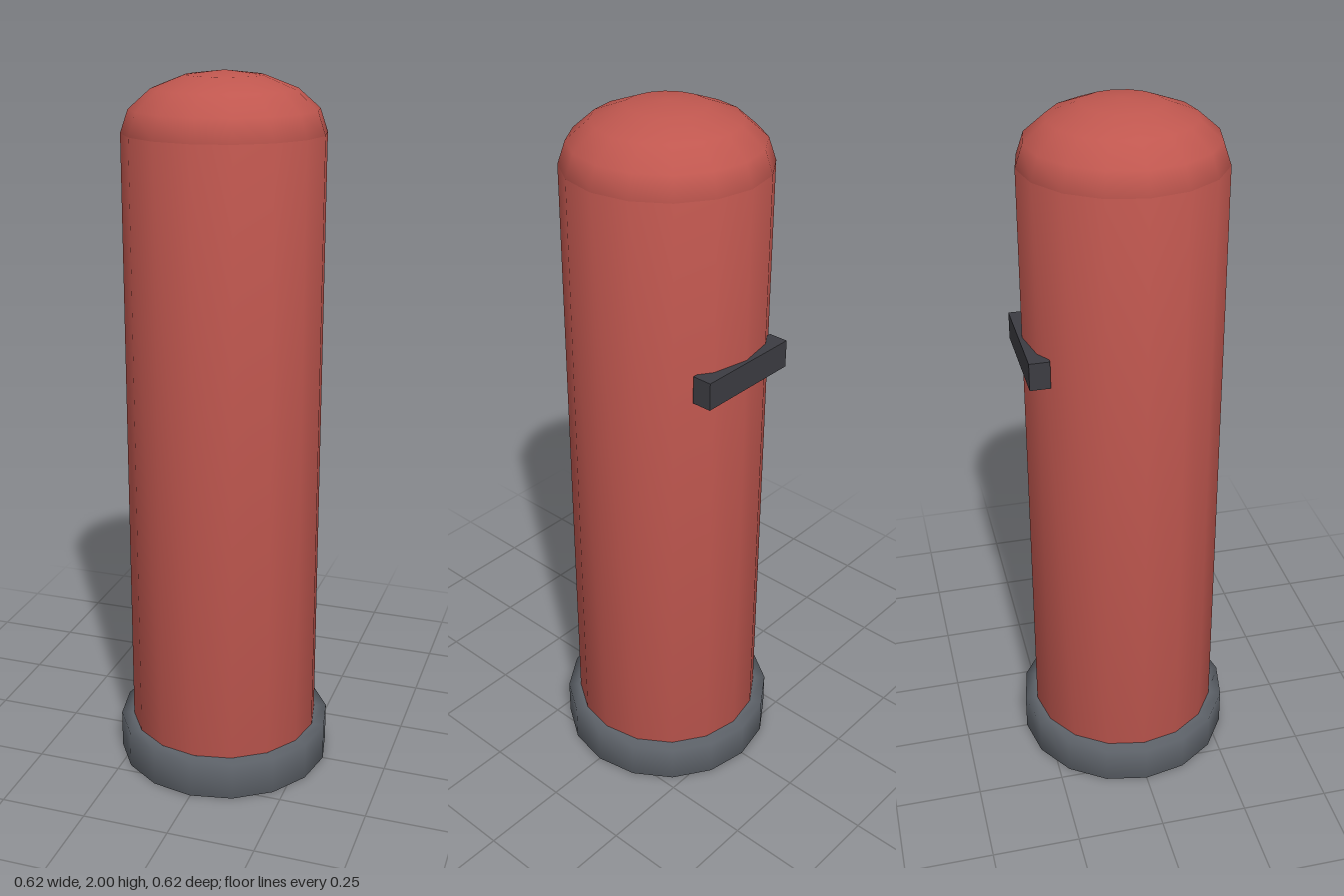
import * as THREE from 'three';

const SIDES = 16;
const RADIUS = 0.275;
const SHOULDER = 1.84;

const paint = (color) => new THREE.MeshStandardMaterial({ color });

// Revolves an [radius, height] profile, listed from the bottom upwards
function turned(name, profile, material) {
  const points = profile.map(([r, y]) => new THREE.Vector2(r, y));
  const mesh = new THREE.Mesh(new THREE.LatheGeometry(points, SIDES), material);
  mesh.name = name;
  return mesh;
}

export function createModel() {
  const group = new THREE.Group();
  group.name = 'tank';
  const red = paint(0xc0574f);
  const grey = paint(0x60656c);
  const dark = paint(0x3c3c42);

  // Closed cylinder, softly shaded over its rims
  group.add(turned('body', [[0, 0], [RADIUS, 0], [RADIUS, SHOULDER], [0, SHOULDER]], red));

  // Flattened hemisphere on top
  const dome = new THREE.Mesh(
    new THREE.SphereGeometry(RADIUS, SIDES, 4, 0, Math.PI * 2, 0, Math.PI / 2), red);
  dome.name = 'dome';
  dome.scale.y = 0.16 / RADIUS;
  dome.position.y = SHOULDER;
  group.add(dome);

  // Collar around the foot
  group.add(turned('baseRing',
    [[RADIUS, 0], [0.312, 0], [0.312, 0.11], [RADIUS, 0.11]], grey));

  // Bracket bar across the back
  const bracket = new THREE.Mesh(new THREE.BoxGeometry(0.312, 0.078, 0.056), dark);
  bracket.name = 'backBracket';
  bracket.position.set(0, 1.335, -0.257);
  group.add(bracket);

  return group;
}
